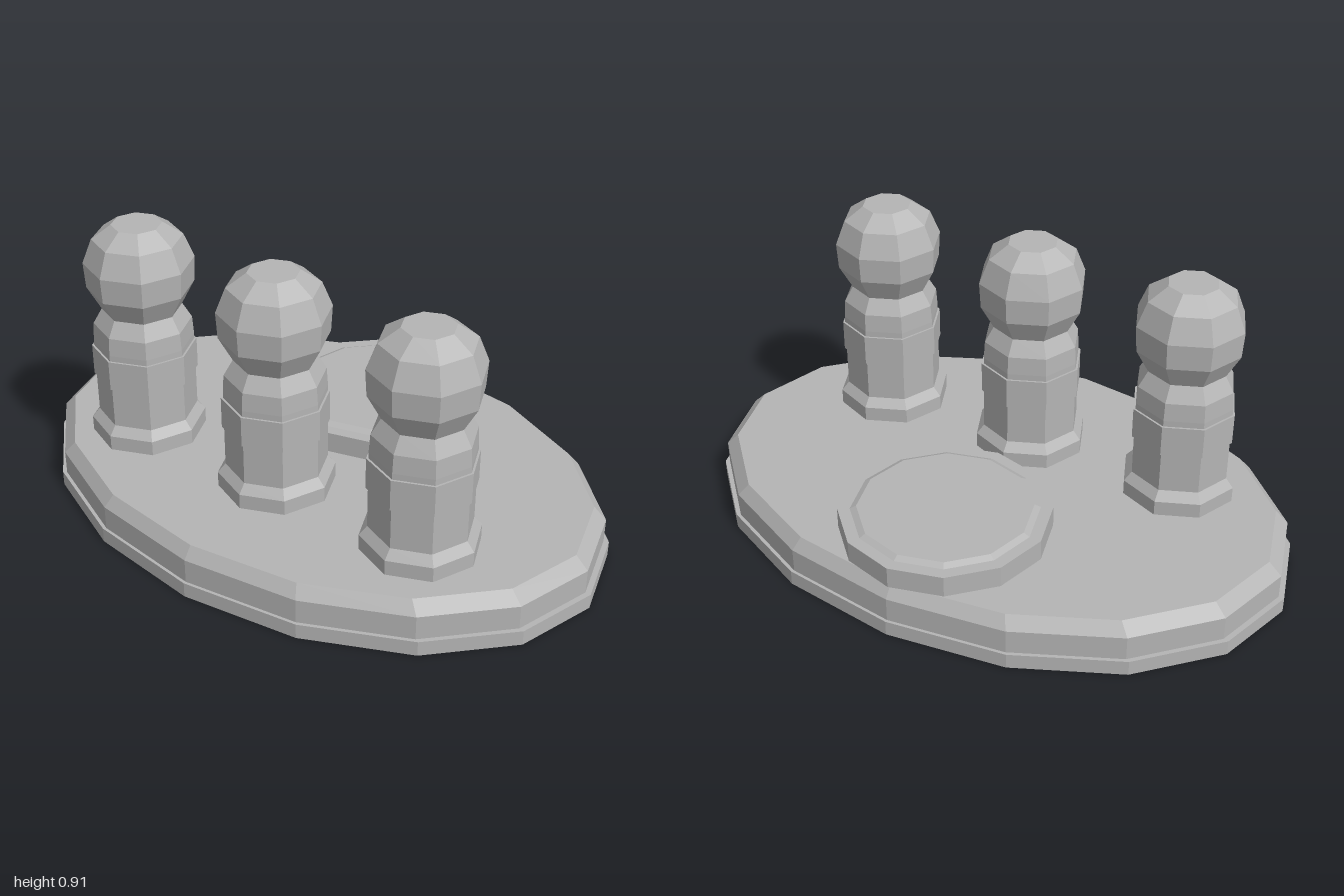
import * as THREE from 'three';

const stone = new THREE.MeshStandardMaterial({ color: 0xb4b4b4, flatShading: true });
stone.name = 'grey';

// Faceted solid of revolution from [radius, height] pairs, bottom to top
function turned(name, profile, sides, depth = 1) {
  const points = profile.map(([r, y]) => new THREE.Vector2(r, y));
  let geometry = new THREE.LatheGeometry(points, sides);
  geometry.scale(1, 1, depth);
  geometry = geometry.toNonIndexed();
  geometry.computeVertexNormals();
  const mesh = new THREE.Mesh(geometry, stone);
  mesh.name = name;
  return mesh;
}

function createPeg(x) {
  const peg = new THREE.Group();
  peg.name = 'peg';
  // Flared foot and straight body with a tapered neck
  peg.add(turned('pegBody', [
    [0, 0.17], [0.186, 0.17], [0.186, 0.22], [0.161, 0.25],
    [0.161, 0.51], [0.157, 0.57], [0.127, 0.622], [0, 0.622],
  ], 8));
  // Raised band round the body
  peg.add(turned('pegBand', [
    [0.15, 0.388], [0.168, 0.388], [0.168, 0.49], [0.15, 0.49],
  ], 8));
  // Rounded head with a flat crown
  peg.add(turned('pegHead', [
    [0, 0.62], [0.127, 0.62], [0.17, 0.70], [0.175, 0.785],
    [0.143, 0.865], [0.08, 0.91], [0, 0.91],
  ], 8));
  peg.position.set(x, 0, 0.227);
  return peg;
}

export function createModel() {
  const model = new THREE.Group();
  model.name = 'pegStand';

  // Oval base: thin foot, then a slightly smaller slab with a bevelled rim
  model.add(turned('baseFoot', [[0, 0], [1, 0], [1, 0.05], [0, 0.05]], 16, 0.682));
  model.add(turned('baseSlab', [
    [0, 0.05], [0.982, 0.05], [0.982, 0.13], [0.94, 0.17], [0, 0.17],
  ], 16, 0.685));

  // Low round disc at the back, with a small raised top
  const disc = turned('disc', [
    [0, 0.17], [0.334, 0.17], [0.334, 0.24], [0.295, 0.24], [0.275, 0.25], [0, 0.25],
  ], 12);
  disc.position.z = -0.327;
  model.add(disc);

  // Row of three pegs along the front
  for (const x of [-0.54, 0, 0.54]) model.add(createPeg(x));

  return model;
}
